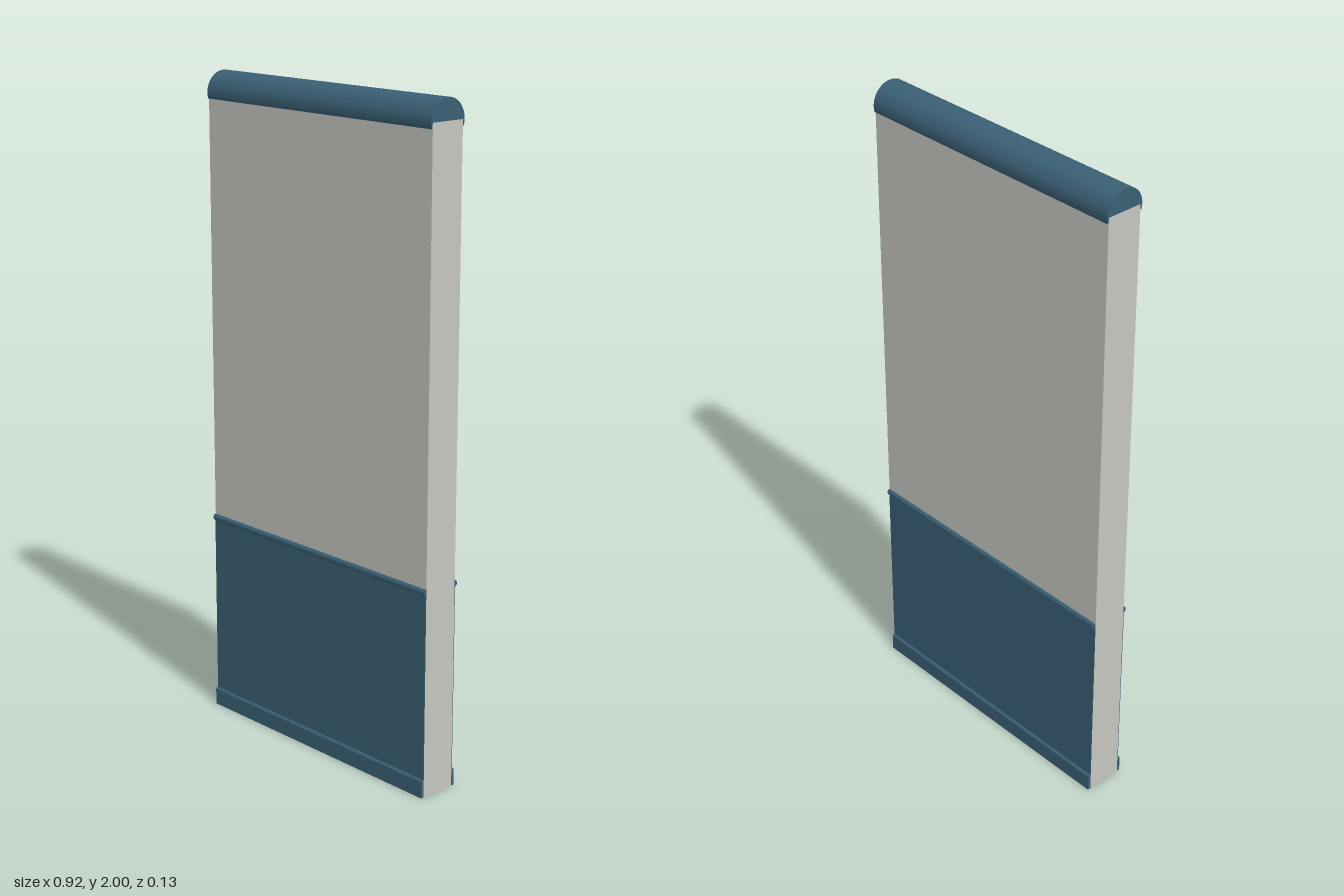
import * as THREE from 'three';
import { toCreasedNormals } from 'three/addons/utils/BufferGeometryUtils.js';

const W = 0.92, HALF = 0.057, CAP_Y = 1.937, CAP_R = 0.063, LIP_Y = 1.92;

const plaster = new THREE.MeshStandardMaterial({ color: 0xc6c7c0 });
plaster.name = 'pale grey plaster';
const paint = new THREE.MeshStandardMaterial({ color: 0x3a6075 });
paint.name = 'slate blue paint';

// Runs a (z, y) profile along the whole width of the wall
function moulding(name, shape) {
  const geo = new THREE.ExtrudeGeometry(shape, { depth: W, bevelEnabled: false, curveSegments: 32 });
  geo.translate(0, 0, -W / 2);
  geo.rotateY(-Math.PI / 2); // profile x becomes z
  const mesh = new THREE.Mesh(toCreasedNormals(geo, 0.5), paint);
  mesh.name = name;
  return mesh;
}

function profile(points) {
  return new THREE.Shape(points.map(([z, y]) => new THREE.Vector2(z, y)));
}

export function createModel() {
  const model = new THREE.Group();
  model.name = 'wallSection';

  // Wall core
  const wall = new THREE.Mesh(new THREE.BoxGeometry(W, CAP_Y, HALF * 2), plaster);
  wall.position.y = CAP_Y / 2;
  wall.name = 'wallCore';
  model.add(wall);

  // Rounded coping that wraps slightly over both wall faces
  const a = Math.asin((CAP_Y - LIP_Y) / CAP_R);
  const cap = new THREE.Shape();
  cap.moveTo(HALF, LIP_Y);
  cap.absarc(0, CAP_Y, CAP_R, -a, Math.PI + a, false);
  cap.lineTo(-HALF, LIP_Y);
  cap.lineTo(-HALF, CAP_Y);
  cap.lineTo(HALF, CAP_Y);
  cap.closePath();
  model.add(moulding('topCap', cap));

  // Lower panel, skirting and dado rail on both faces
  for (const side of ['front', 'back']) {
    const trim = new THREE.Group();
    trim.name = side + 'Trim';
    trim.add(
      moulding('lowerPanel', profile([[HALF, 0], [0.059, 0], [0.059, 0.62], [HALF, 0.62]])),
      moulding('skirting', profile([[HALF, 0], [0.067, 0], [0.067, 0.05], [0.063, 0.055], [HALF, 0.055]])),
      moulding('dadoRail', profile([[HALF, 0.616], [0.06, 0.616], [0.066, 0.622], [0.066, 0.63], [0.061, 0.636], [HALF, 0.636]]))
    );
    if (side === 'back') trim.rotation.y = Math.PI;
    model.add(trim);
  }
  return model;
}
